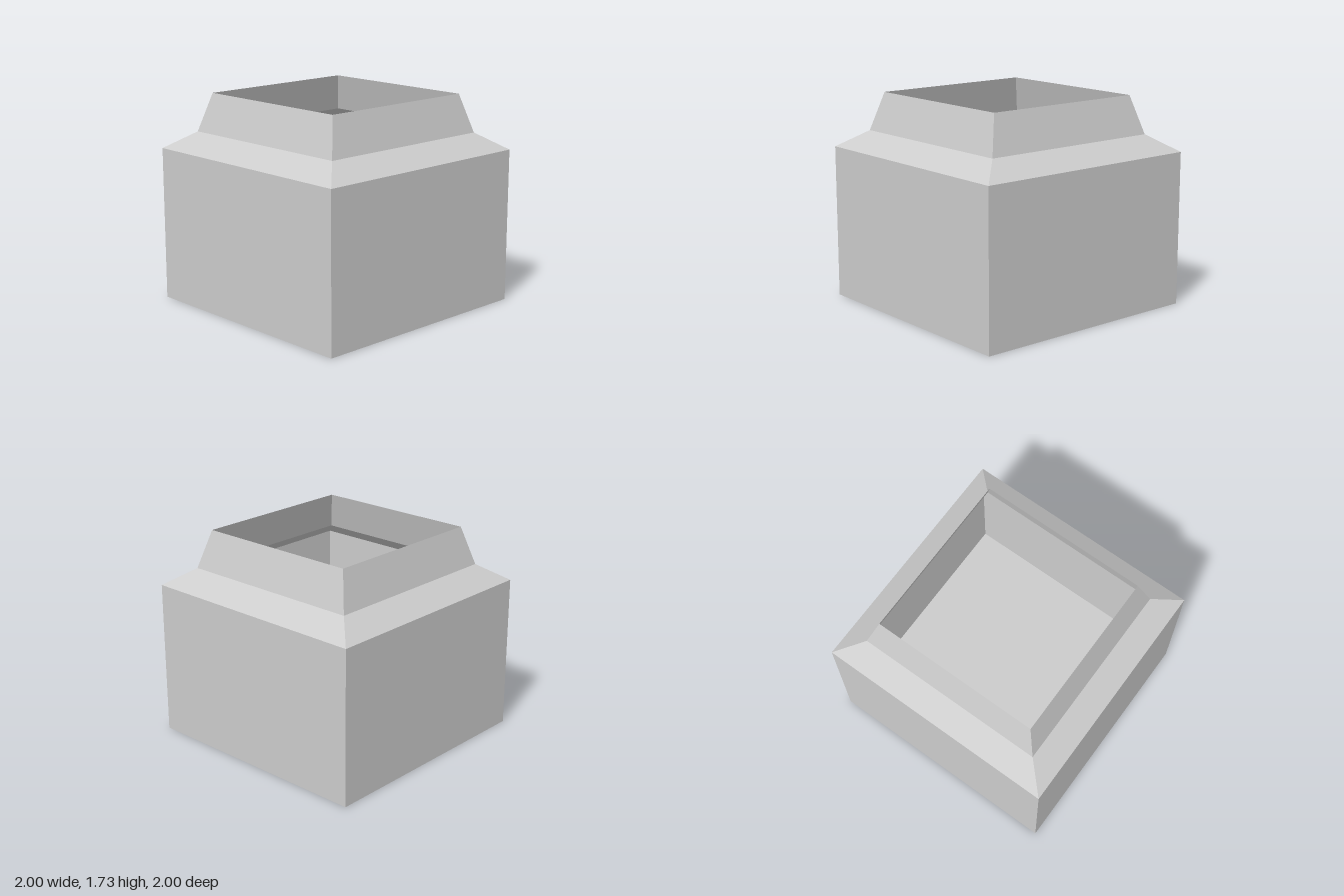
import * as THREE from 'three';

export function createModel() {
  const model = new THREE.Group();
  model.name = 'openSquareJar';

  const grey = new THREE.MeshStandardMaterial({
    color: 0xcccccc, flatShading: true, side: THREE.DoubleSide,
  });
  grey.name = 'plain grey';

  // Four-sided open shell from [half width, height] profile points
  function squareShell(name, profile) {
    const points = profile.map(([half, y]) => new THREE.Vector2(half * Math.SQRT2, y));
    const geometry = new THREE.LatheGeometry(points, 4, Math.PI / 4).toNonIndexed();
    geometry.computeVertexNormals();
    const mesh = new THREE.Mesh(geometry, grey);
    mesh.name = name;
    model.add(mesh);
  }

  // Closed underneath, hollow inside, open at the top
  const floor = new THREE.Mesh(new THREE.PlaneGeometry(2, 2).rotateX(Math.PI / 2), grey);
  floor.name = 'floor';
  model.add(floor);

  squareShell('body', [[1, 0], [1, 1.275]]);
  squareShell('shoulder', [[1, 1.275], [0.793, 1.415]]);
  squareShell('neck', [[0.793, 1.415], [0.702, 1.732]]);

  return model;
}
